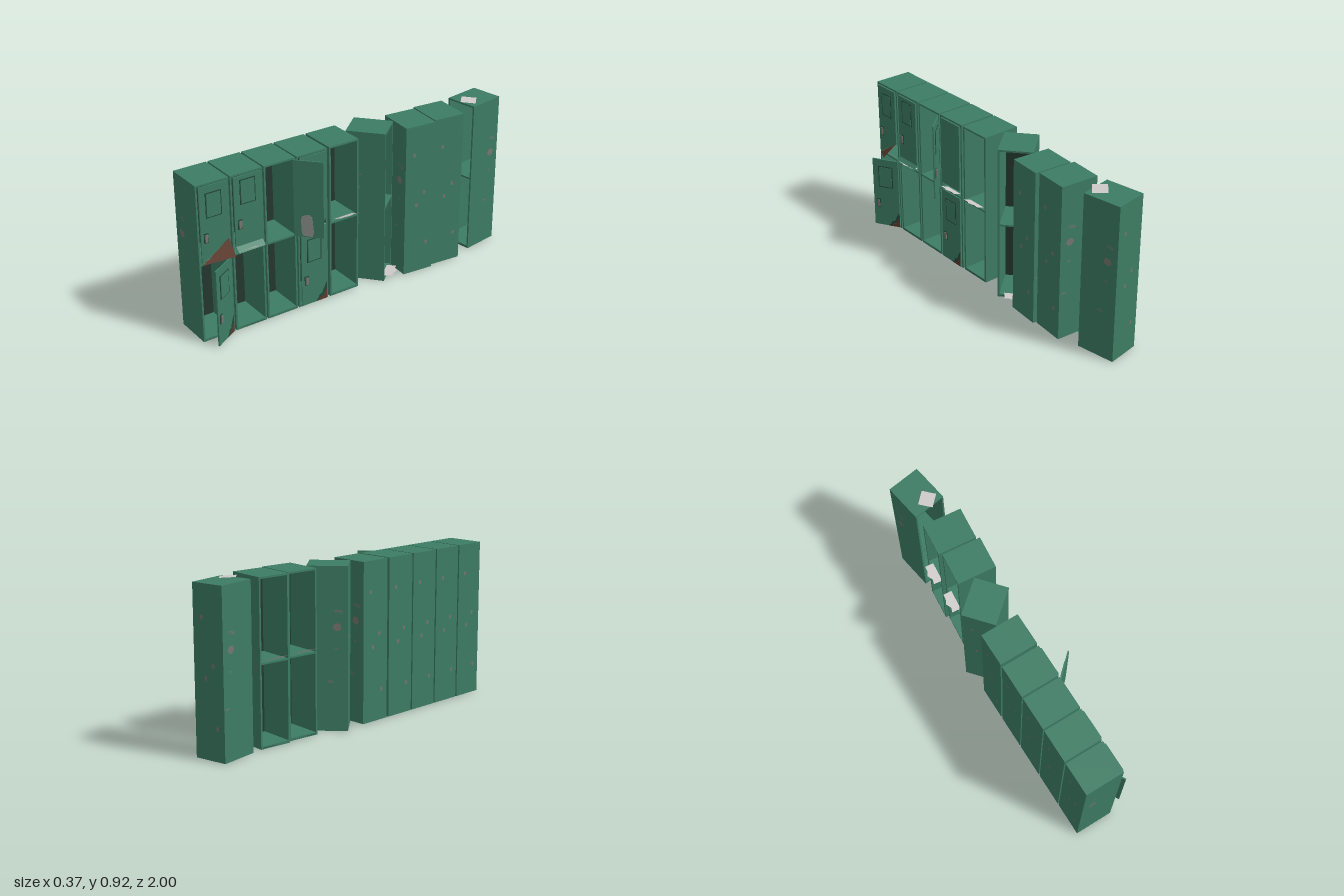
import * as THREE from 'three';

const mat = (name, color, side = THREE.FrontSide) => {
  const m = new THREE.MeshStandardMaterial({ color, side });
  m.name = name;
  return m;
};

export function createModel() {
  const green = mat('green paint', 0x3d7c64);
  const dark = mat('dark interior', 0x25372f);
  const seam = mat('dark green seam', 0x24493c);
  const rust = mat('rust', 0x5f3a2c, THREE.DoubleSide);
  const scuffGrey = mat('bare metal scuff', 0x77766f);
  const patchGrey = mat('grey patch', 0x8d8f8d);
  const paperWhite = mat('paper', 0xcfcaca, THREE.DoubleSide);

  const W = 0.19, D = 0.222, H = 0.912, T = 0.01, SHELF = 0.46;
  const root = new THREE.Group();
  root.name = 'lockerRow';

  const add = (parent, name, geo, material, x = 0, y = 0, z = 0) => {
    const m = new THREE.Mesh(geo, material);
    m.name = name;
    m.position.set(x, y, z);
    parent.add(m);
    return m;
  };
  const box = (parent, name, w, h, d, material, x, y, z) =>
    add(parent, name, new THREE.BoxGeometry(w, h, d), material, x, y, z);
  const poly = (pts) => new THREE.Shape(pts.map(([x, y]) => new THREE.Vector2(x, y)));
  const slab = (pts, depth) => new THREE.ExtrudeGeometry(poly(pts), { depth, bevelEnabled: false });

  // Worn spots and scratches, on a plane facing +z
  const scuffs = (parent) => {
    const g = new THREE.Group();
    g.name = 'scuffs';
    const spot = add(g, 'wornSpot', new THREE.CircleGeometry(0.023, 12), scuffGrey, 0, 0.582, 0);
    spot.scale.set(1, 0.95, 1);
    [[0.005, 0.675, 0.035], [0.01, 0.667, 0.048], [0.022, 0.66, 0.02], [-0.005, 0.472, 0.016],
      [-0.003, 0.463, 0.02], [-0.035, 0.287, 0.026], [-0.033, 0.28, 0.034]].forEach(([x, y, w]) =>
      add(g, 'scratch', new THREE.PlaneGeometry(w, 0.004), scuffGrey, x, y, 0));
    parent.add(g);
    return g;
  };

  // Open two-compartment cabinet, front at local +z
  const locker = (x, z, angle) => {
    const g = new THREE.Group();
    g.name = 'locker';
    g.position.set(x, 0, z);
    g.rotation.y = angle;
    root.add(g);
    const mid = (H + 0.005) / 2, tall = H - 0.005;
    for (const s of [-1, 1]) {
      box(g, 'sideWall', T, tall, D, green, s * (W - T) / 2, mid, 0);
      const marks = scuffs(g);
      marks.position.set(s * (W / 2 + 0.001), 0, -0.052);
      marks.rotation.y = s * Math.PI / 2;
    }
    const inner = W - 2 * T;
    box(g, 'roof', inner, T, D, green, 0, H - T / 2, 0);
    box(g, 'backWall', inner, tall - T, T, green, 0, mid - T / 2, -(D - T) / 2);
    box(g, 'backLining', inner, tall - 2 * T, 0.002, dark, 0, mid, -D / 2 + T + 0.001);
    box(g, 'shelf', inner, T, D - T, green, 0, SHELF, T / 2);
    box(g, 'floor', inner, 0.008, D - T, green, 0, 0.016, T / 2);
    box(g, 'underside', inner, 0.002, D - T, dark, 0, 0.011, T / 2);
    box(g, 'bottomRim', inner, 0.015, T, green, 0, 0.0125, (D - T) / 2);
    // Small marks on the back
    [[0.04, 0.74], [-0.03, 0.5], [0.02, 0.43], [-0.05, 0.18]].forEach(([px, py]) => {
      const m = add(g, 'backMark', new THREE.CircleGeometry(0.009, 8), scuffGrey, px, py, -D / 2 - 0.001);
      m.rotation.y = Math.PI;
      m.scale.y = 1.5;
    });
    return g;
  };

  // Door on a hinge at local x = 0.08, opened by an angle
  const DW = 0.162, DT = 0.008;
  const door = (parent, y0, y1, open, { cutHinge = 0, cutFree = 0, plain = false, rusty = false } = {}) => {
    const g = new THREE.Group();
    g.name = 'door';
    g.position.set(0.081, 0, D / 2);
    g.rotation.y = open;
    parent.add(g);
    add(g, 'doorPanel', slab([[-DW, y0 + cutFree], [0, y0 + cutHinge], [0, y1], [-DW, y1]], DT), green);
    if (!plain) {
      const cy = (y0 + y1) / 2 + 0.108;
      box(g, 'ventSeam', 0.092, 0.14, 0.003, seam, -DW / 2, cy, DT + 0.001);
      box(g, 'ventPlate', 0.08, 0.128, 0.004, green, -DW / 2, cy, DT + 0.002);
      const hy = (y0 + y1) / 2 - 0.072;
      box(g, 'handlePlate', 0.026, 0.056, 0.003, seam, -DW + 0.03, hy, DT + 0.001);
      box(g, 'handle', 0.016, 0.042, 0.009, scuffGrey, -DW + 0.03, hy, DT + 0.004);
    }
    if (rusty) {
      const edge = [[-0.075, 0], [-0.055, 0.018], [-0.05, 0.034], [-0.03, 0.04], [-0.022, 0.065], [0, 0.1], [0, 0]];
      add(g, 'rustEdge', slab(edge.map(([x, y]) => [x, y + y0]), 0.001), seam, 0, 0, DT);
      add(g, 'rustPatch', slab(edge.map(([x, y]) => [x * 0.8, y * 0.6 + y0]), 0.002), rust, 0, 0, DT);
    }
    return g;
  };

  // Torn sheet poking out of a compartment
  const paper = (parent, y, tilt) => {
    const geo = new THREE.ShapeGeometry(poly([[-0.06, -0.02], [0.06, -0.02], [0.068, 0.04],
      [0.04, 0.032], [0.01, 0.052], [-0.02, 0.038], [-0.05, 0.038]]));
    geo.rotateX(Math.PI / 2 - tilt);
    return add(parent, 'paper', geo, paperWhite, 0, y, D / 2 + 0.002);
  };

  const Q = Math.PI / 2;
  const [l1, l2, l3, l4, l5] = [0.905, 0.705, 0.505, 0.305, 0.1].map((z) => locker(-0.05, z, Q));
  const l6 = locker(-0.045, -0.146, 2.28);
  const l7 = locker(0.005, -0.388, -1.66);
  const l8 = locker(0.005, -0.588, -1.66);
  const l9 = locker(-0.029, -0.878, 0.16);

  // First locker: torn upper door with a rusty flap, lower door ajar
  const torn = door(l1, 0.468, 0.9, 0, { cutHinge: 0.107 });
  const flap = new THREE.BufferGeometry();
  flap.setAttribute('position', new THREE.Float32BufferAttribute(
    [-DW, 0.462, DT, -0.012, 0.505, 0.092, 0, 0.575, DT], 3));
  flap.computeVertexNormals();
  add(torn, 'bentFlap', flap, rust);
  door(l1, 0.012, 0.455, 0.546, { rusty: true });

  // Second locker: upper door with its lower edge bent outwards
  const bent = door(l2, 0.505, 0.9, 0);
  const lip = box(bent, 'bentLip', DW, 0.042, 0.005, green, -DW / 2, 0.494, 0.02);
  lip.rotation.x = -0.85;

  // Third locker: upper door swung wide, grey patch on its inner face
  const wide = door(l3, 0.457, 0.9, 2.31);
  const patch = add(wide, 'greyPatch', slab([[-0.08, -0.064], [-0.03, -0.06], [-0.022, -0.045], [-0.018, 0.035],
    [-0.025, 0.055], [-0.06, 0.066], [-0.08, 0.052], [-0.088, -0.04]], 0.002), patchGrey, -0.02, 0.525, -0.0025);
  patch.name = 'greyPatch';

  // Fourth locker: both doors shut
  door(l4, 0.5, 0.9, 0, { plain: true });
  door(l4, 0.012, 0.455, 0, { rusty: true });

  for (const l of [l1, l2, l4, l5, l7, l8]) {
    const p = paper(l, 0.478, 0.4);
    if (l === l1) p.scale.z = 0.4;
  }
  paper(l6, 0.021, 0.02);

  // Loose sheet on the last roof
  const sheet = add(l9, 'roofPaper', new THREE.PlaneGeometry(0.085, 0.08), paperWhite, 0.018, 0.92, 0.07);
  sheet.rotation.set(-Q, 0.06, 0.65);

  return root;
}
